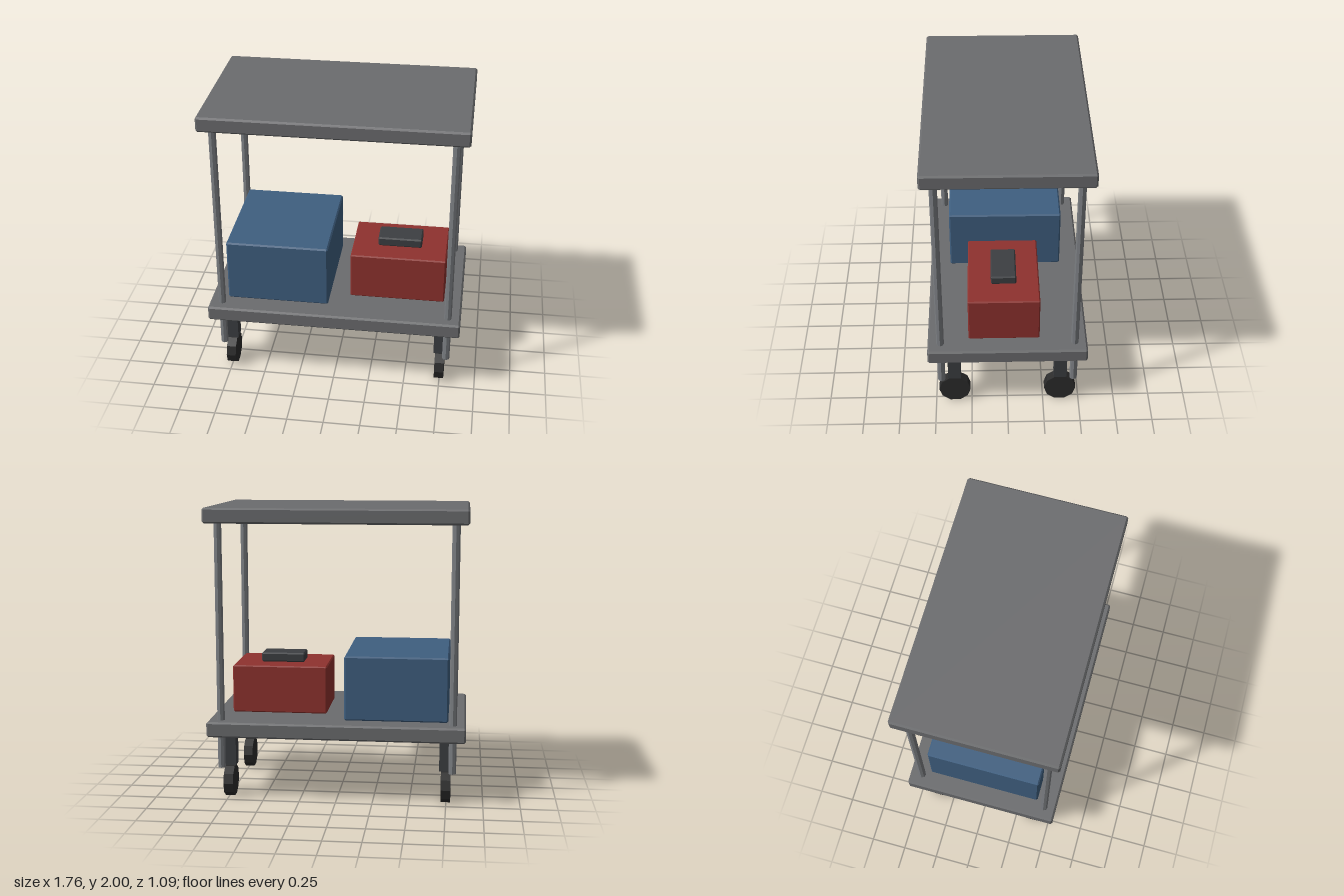
import * as THREE from 'three';
import { ConvexGeometry } from 'three/addons/geometries/ConvexGeometry.js';

const mat = (color) => new THREE.MeshStandardMaterial({ color, flatShading: true });

// Box between two corners with every edge chamfered by b
function chamferBox(min, max, b) {
  const c = min.map((v, i) => (v + max[i]) / 2);
  const h = min.map((v, i) => (max[i] - v) / 2);
  const points = [];
  for (const sx of [-1, 1]) for (const sy of [-1, 1]) for (const sz of [-1, 1]) {
    for (let full = 0; full < 3; full++) {
      const [x, y, z] = [sx, sy, sz].map((s, i) => c[i] + s * (h[i] - (i === full ? 0 : b)));
      points.push(new THREE.Vector3(x, y, z));
    }
  }
  return new ConvexGeometry(points);
}

export function createModel() {
  const model = new THREE.Group();
  model.name = 'utilityCart';
  const shelfMat = mat(0x6b6c6e), postMat = mat(0x7b7e82), darkMat = mat(0x3c3f42);
  const wheelMat = mat(0x2b2b2b), blueMat = mat(0x3f5f80), redMat = mat(0x8f322e);

  const add = (name, geometry, material, x = 0, y = 0, z = 0) => {
    const mesh = new THREE.Mesh(geometry, material);
    mesh.name = name;
    mesh.position.set(x, y, z);
    model.add(mesh);
  };

  // Two shelves
  add('lowerShelf', chamferBox([-0.878, 0.448, -0.543], [0.878, 0.554, 0.543], 0.012), shelfMat);
  add('upperShelf', chamferBox([-0.878, 1.897, -0.543], [0.878, 2, 0.543], 0.012), shelfMat);

  // Corner posts, caster stems and ten-sided wheels
  const post = new THREE.CylinderGeometry(0.026, 0.026, 1.7, 8);
  const stem = new THREE.BoxGeometry(0.09, 0.24, 0.088);
  const wheel = new THREE.CylinderGeometry(0.11, 0.11, 0.066, 10).rotateZ(Math.PI / 2);
  for (const sx of [-1, 1]) for (const sz of [-1, 1]) {
    const corner = (sz > 0 ? 'front' : 'back') + (sx > 0 ? 'Left' : 'Right');
    add(corner + 'Post', post, postMat, sx * 0.79, 1.07, sz * 0.457);
    add(corner + 'CasterStem', stem, darkMat, sx * 0.746, 0.34, sz * 0.368);
    add(corner + 'Wheel', wheel, wheelMat, sx * 0.746, 0.105, sz * 0.368);
  }

  // Cargo on the lower shelf
  add('blueCrate', chamferBox([-0.757, 0.555, -0.4], [-0.05, 1, 0.4], 0.01), blueMat);
  add('redToolbox', chamferBox([0.09, 0.555, -0.22], [0.752, 0.888, 0.265], 0.008), redMat);
  add('toolboxHandle', chamferBox([0.267, 0.888, -0.064], [0.574, 0.953, 0.108], 0.009), darkMat);

  return model;
}
